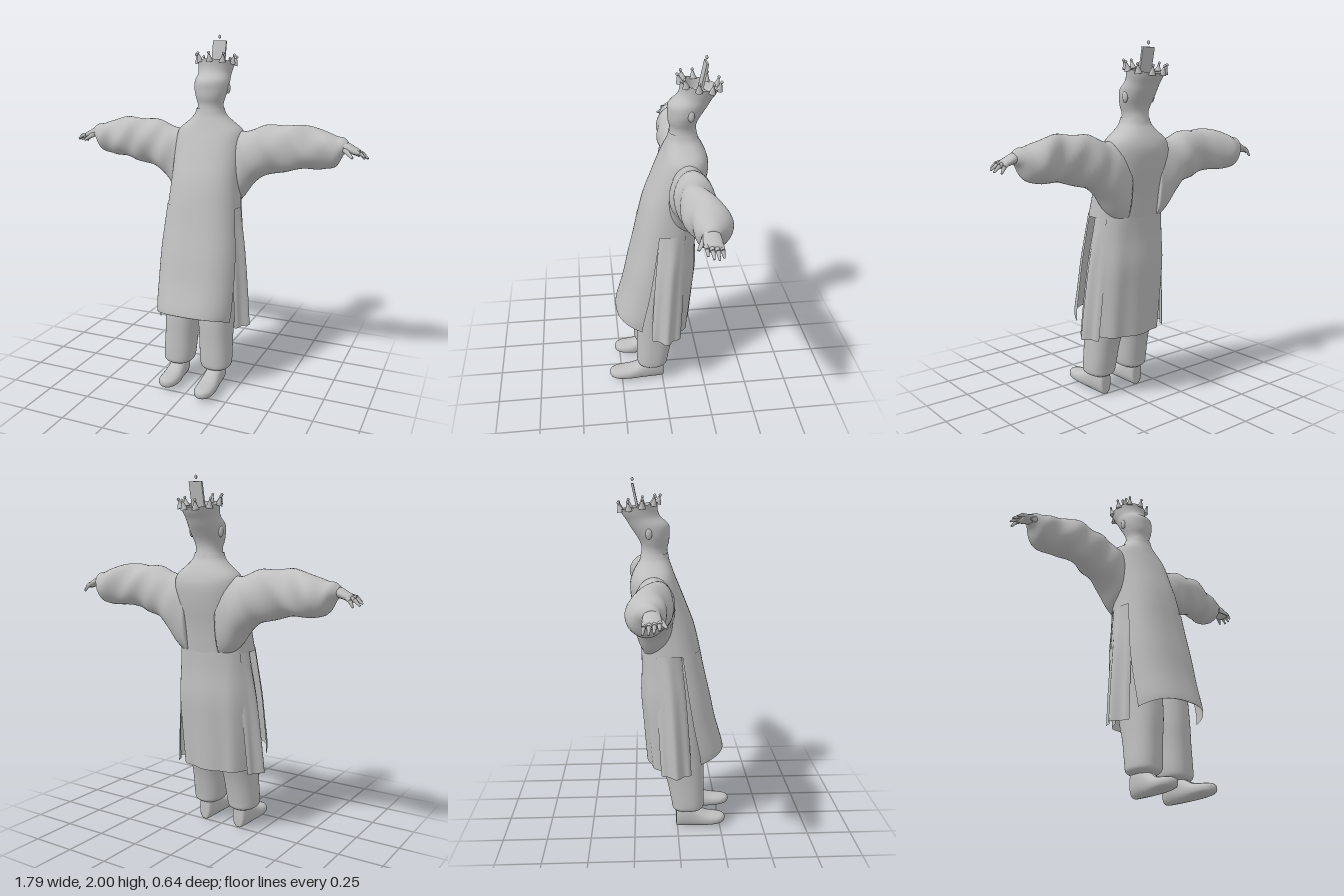
import * as THREE from 'three';

const grey = new THREE.MeshStandardMaterial({ color: 0xbfbfbf, side: THREE.DoubleSide });
grey.name = 'plain grey';

// Catmull-Rom through rows of numbers
function sample(rows, u) {
  const f = u * (rows.length - 1), i = Math.min(Math.floor(f), rows.length - 2), t = f - i;
  const at = k => rows[Math.max(0, Math.min(rows.length - 1, k))];
  return rows[0].map((_, c) => {
    const p = at(i - 1)[c], a = at(i)[c], b = at(i + 1)[c], n = at(i + 2)[c];
    const m0 = (b - p) / 2, m1 = (n - a) / 2;
    return a + t * (m0 + t * (3 * (b - a) - 2 * m0 - m1 + t * (2 * (a - b) + m0 + m1)));
  });
}

// Loft of rounded sections [t, aMin, aMax, bMin, bMax] along an axis.
// Axis y uses a = z, b = x; axis x uses a = y, b = z; axis z uses a = x, b = y.
function loft(name, axis, rows, { power = 1, from = 0, to = Math.PI * 2, steps = 24, n = 40, caps = true, warp } = {}) {
  const closed = to - from > 6.28, cols = closed ? n : n + 1;
  const pos = [], idx = [];
  const put = (t, a, b) => axis === 'y' ? new THREE.Vector3(b, t, a)
    : axis === 'x' ? new THREE.Vector3(t, a, b) : new THREE.Vector3(a, b, t);
  const round = v => Math.sign(v) * Math.abs(v) ** power;
  for (let i = 0; i <= steps; i++) {
    const u = i / steps, [t, a0, a1, b0, b1] = sample(rows, u);
    for (let j = 0; j < cols; j++) {
      const th = from + (to - from) * j / n;
      const p = put(t, (a0 + a1) / 2 + (a1 - a0) / 2 * round(Math.cos(th)),
        (b0 + b1) / 2 + (b1 - b0) / 2 * round(Math.sin(th)));
      if (warp) warp(p, u, th);
      pos.push(p.x, p.y, p.z);
    }
  }
  for (let i = 0; i < steps; i++) for (let j = 0; j < n; j++) {
    const a = i * cols + j, b = i * cols + (j + 1) % cols;
    idx.push(a, b, b + cols, a, b + cols, a + cols);
  }
  if (closed && caps) for (const end of [0, steps]) {
    const [t, a0, a1, b0, b1] = sample(rows, end / steps);
    const c = pos.length / 3;
    pos.push(...put(t, (a0 + a1) / 2, (b0 + b1) / 2).toArray());
    for (let j = 0; j < n; j++) {
      const a = end * cols + j, b = end * cols + (j + 1) % cols;
      end ? idx.push(c, a, b) : idx.push(c, b, a);
    }
  }
  const g = new THREE.BufferGeometry();
  g.setAttribute('position', new THREE.Float32BufferAttribute(pos, 3));
  g.setIndex(idx);
  g.computeVertexNormals();
  return mesh(name, g);
}

function mesh(name, geometry) {
  const m = new THREE.Mesh(geometry, grey);
  m.name = name;
  return m;
}

// Tapered rod between two points
function rod(name, p, q, r0, r1) {
  const a = new THREE.Vector3(...p), d = new THREE.Vector3(...q).sub(a);
  const m = mesh(name, new THREE.CylinderGeometry(r1, r0, d.length(), 8));
  m.position.copy(a).addScaledVector(d, 0.5);
  m.quaternion.setFromUnitVectors(new THREE.Vector3(0, 1, 0), d.normalize());
  return m;
}

function buildRobe() {
  const g = new THREE.Group();
  g.name = 'robe';
  g.add(loft('robeBody', 'y', [
    [1.06, -0.2, 0.133, -0.21, 0.21], [1.2, -0.22, 0.1, -0.2, 0.2], [1.32, -0.245, 0.055, -0.2, 0.2],
    [1.42, -0.257, 0.015, -0.2, 0.2], [1.48, -0.245, -0.01, -0.185, 0.185], [1.53, -0.22, -0.028, -0.125, 0.125],
    [1.565, -0.2, -0.04, -0.09, 0.09], [1.6, -0.19, -0.046, -0.077, 0.077],
  ], { power: 0.85, caps: false }));
  // Skirt panels, split at the sides
  const skirt = [
    [0.43, -0.165, 0.27, -0.23, 0.23], [0.5, -0.175, 0.262, -0.236, 0.236], [0.65, -0.188, 0.222, -0.238, 0.238],
    [0.8, -0.2, 0.19, -0.235, 0.235], [0.95, -0.196, 0.155, -0.222, 0.222], [1.07, -0.2, 0.131, -0.21, 0.21],
  ];
  g.add(loft('frontPanel', 'y', skirt, {
    power: 0.8, from: -1.3, to: 1.3,
    warp: (p, u) => { p.y += (1 - u) ** 6 * 0.05 * Math.max(0, p.z - 0.12) / 0.15; },
  }));
  g.add(loft('backPanel', 'y', skirt.map((r, i) => i ? r : [0.385, ...r.slice(1)]), {
    power: 0.8, from: 2.0, to: Math.PI * 2 - 2.0,
    warp: (p, u, th) => { p.z += 0.008 * (1 - u) * Math.cos(9 * th); },
  }));
  // Loose side tails behind the front panel
  const tail = [
    [0.375, -0.15, 0.13, -0.28, 0.28], [0.55, -0.16, 0.12, -0.268, 0.268], [0.8, -0.17, 0.1, -0.244, 0.244],
    [1.0, -0.19, 0.08, -0.214, 0.214], [1.2, -0.2, 0.06, -0.19, 0.19],
  ];
  for (const mid of [Math.PI / 2, Math.PI * 1.5]) g.add(loft('sideTail', 'y', tail, {
    from: mid - 0.65, to: mid + 0.65, n: 16,
    warp: (p, u, th) => { p.x *= 1 + 0.05 * (1 - u) * Math.cos(10 * (th - mid)); },
  }));
  return g;
}

function buildArm(side) {
  const g = new THREE.Group();
  g.name = side > 0 ? 'leftArm' : 'rightArm';
  g.add(loft('sleeve', 'x', [
    [0.1, 1.02, 1.5, -0.225, -0.04], [0.19, 1.09, 1.48, -0.237, -0.025], [0.26, 1.18, 1.49, -0.236, -0.022],
    [0.34, 1.238, 1.518, -0.232, -0.028], [0.46, 1.275, 1.527, -0.22, -0.034], [0.58, 1.285, 1.515, -0.24, -0.05],
    [0.66, 1.298, 1.5, -0.266, -0.07], [0.72, 1.312, 1.474, -0.245, -0.085], [0.755, 1.37, 1.468, -0.21, -0.1],
    [0.78, 1.395, 1.45, -0.18, -0.115],
  ], {
    steps: 44,
    warp: (p, u, th) => {
      const w = 0.007 * Math.sin(Math.PI * u);
      p.z += w * Math.sin(38 * p.x + 22 * p.y);
      p.y += w * Math.sin(26 * p.x + 2 * th);
    },
  }));
  g.add(loft('hand', 'x', [
    [0.73, 1.4, 1.45, -0.18, -0.11], [0.77, 1.395, 1.45, -0.185, -0.105],
    [0.81, 1.385, 1.43, -0.19, -0.1], [0.845, 1.375, 1.41, -0.185, -0.105],
  ], { steps: 10, n: 16 }));
  // Fingers as two tapering joints each
  [[0.865, 1.355, -0.188], [0.89, 1.362, -0.162], [0.893, 1.37, -0.137], [0.878, 1.378, -0.112]].forEach((tip, i) => {
    const root = [0.825, 1.402, -0.177 + i * 0.022], mid = [(root[0] + tip[0]) / 2, (root[1] + tip[1]) / 2 + 0.008, (root[2] + tip[2]) / 2];
    g.add(rod('finger', root, mid, 0.013, 0.011), rod('fingerTip', mid, tip, 0.011, 0.005));
  });
  g.add(rod('thumb', [0.77, 1.41, -0.115], [0.82, 1.375, -0.078], 0.016, 0.007));
  g.scale.x = side;
  return g;
}

function buildLeg(side) {
  const g = new THREE.Group();
  g.name = side > 0 ? 'leftLeg' : 'rightLeg';
  g.add(loft('trouserLeg', 'y', [
    [0.115, -0.01, 0.125, 0.06, 0.175], [0.13, -0.028, 0.15, 0.035, 0.2], [0.17, -0.035, 0.155, 0.024, 0.206],
    [0.3, -0.062, 0.152, 0.016, 0.202], [0.45, -0.105, 0.15, 0.002, 0.202], [0.7, -0.13, 0.125, 0, 0.2],
    [1.0, -0.14, 0.09, 0, 0.17],
  ], { power: 0.85 }));
  const foot = loft('shoe', 'z', [
    [-0.008, 0.1, 0.135, 0.02, 0.1], [0, 0.08, 0.155, 0.003, 0.15], [0.06, 0.07, 0.165, 0.002, 0.16],
    [0.13, 0.068, 0.168, 0.004, 0.12], [0.2, 0.062, 0.175, 0.008, 0.09], [0.27, 0.066, 0.174, 0.016, 0.08],
    [0.31, 0.085, 0.155, 0.024, 0.073], [0.325, 0.11, 0.13, 0.04, 0.058],
  ], { power: 0.85, n: 24 });
  if (side < 0) foot.scale.z = 0.86;
  g.add(foot);
  g.scale.x = side;
  return g;
}

function buildHead() {
  const g = new THREE.Group();
  g.name = 'head';
  // Neck, face and flared crown band in one leaning form
  g.add(loft('faceAndBand', 'y', [
    [1.57, -0.2, -0.044, -0.08, 0.08], [1.62, -0.19, -0.05, -0.073, 0.073], [1.66, -0.198, -0.04, -0.084, 0.084],
    [1.7, -0.22, -0.038, -0.095, 0.095], [1.745, -0.248, -0.042, -0.098, 0.098], [1.785, -0.268, -0.085, -0.094, 0.094],
    [1.82, -0.288, -0.1, -0.098, 0.098], [1.86, -0.305, -0.1, -0.105, 0.105],
  ], { caps: false, warp: (p, u) => { p.y += (p.z + 0.16) * 0.2 * u * u; } }));
  const scalp = mesh('scalp', new THREE.SphereGeometry(1, 24, 8, 0, Math.PI * 2, 0, Math.PI / 2));
  scalp.scale.set(0.094, 0.03, 0.09);
  scalp.position.set(0, 1.785, -0.18);
  g.add(scalp);
  for (const s of [-1, 1]) {
    const ear = mesh('ear', new THREE.SphereGeometry(1, 12, 8));
    ear.scale.set(0.012, 0.03, 0.018);
    ear.position.set(s * 0.093, 1.71, -0.15);
    g.add(ear);
  }
  // Crown points with beads
  for (let i = 0; i < 9; i++) {
    const a = i / 9 * Math.PI * 2, s = Math.sin(a), c = Math.cos(a);
    const at = (r, h) => [r * s, 1.86 + h + (0.0975 * c - 0.0425) * 0.2, -0.2025 + r * c * 0.98];
    g.add(rod('crownPoint', at(0.104, -0.012), at(0.115, 0.03), 0.02, 0.004));
    const bead = mesh('crownBead', new THREE.SphereGeometry(0.008, 10, 8));
    bead.position.set(...at(0.118, 0.035));
    g.add(bead);
  }
  // Upright plate and small bead above it
  const plate = mesh('crownPlate', new THREE.BoxGeometry(0.08, 0.15, 0.012));
  plate.position.set(0.008, 1.893, -0.22);
  plate.rotation.x = -0.2;
  const topBead = mesh('topBead', new THREE.SphereGeometry(0.008, 10, 8));
  topBead.scale.y = 1.3;
  topBead.position.set(0.006, 1.989, -0.235);
  g.add(plate, topBead);
  return g;
}

export function createModel() {
  const model = new THREE.Group();
  model.name = 'robedFigure';
  model.add(buildRobe(), buildHead());
  for (const side of [-1, 1]) model.add(buildArm(side), buildLeg(side));
  return model;
}
